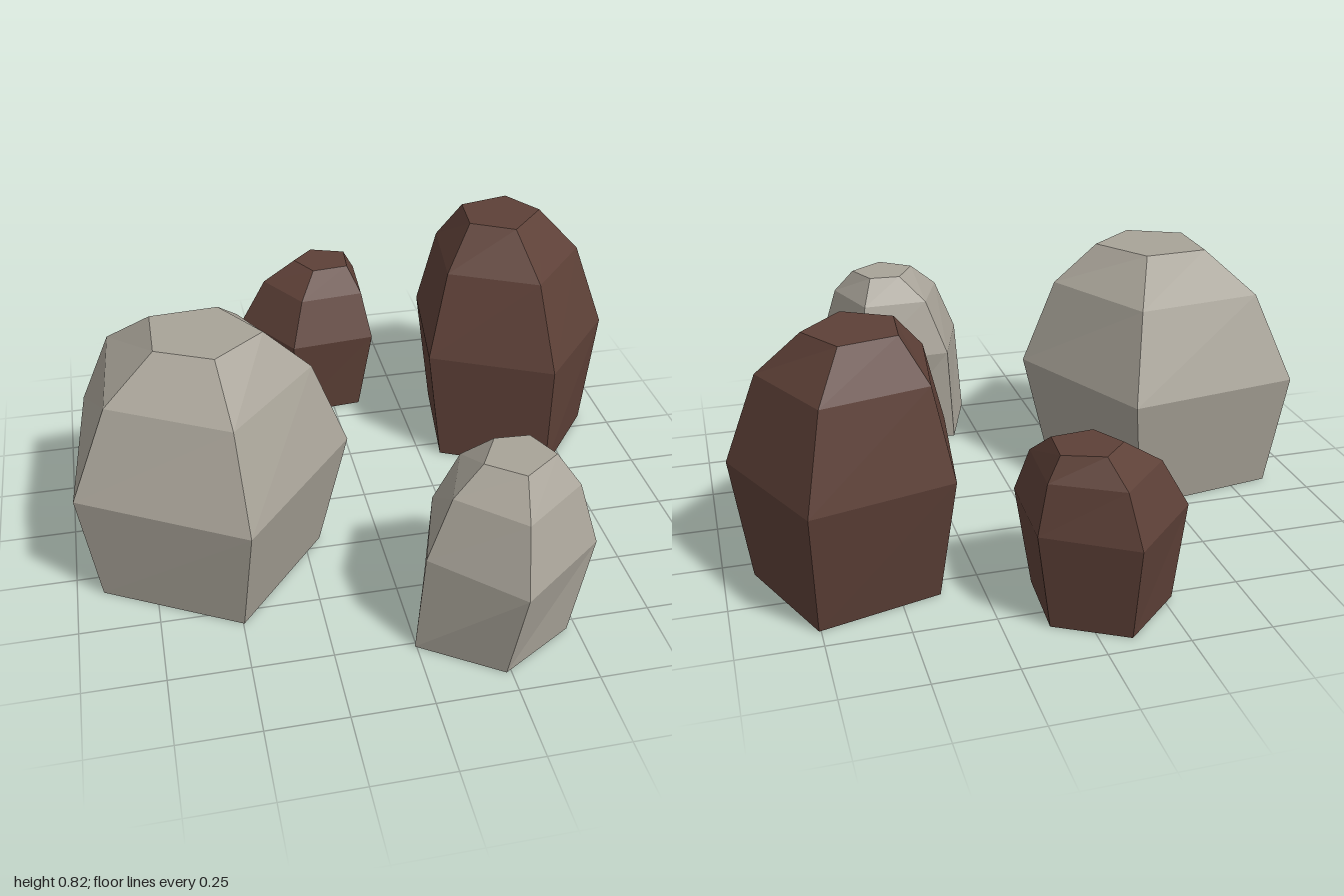
import * as THREE from 'three';

// Five-sided boulder from stacked rings: base, belly, shoulder, top.
// Ring points are [x, z], clockwise seen from above.
function boulder(name, material, { base, belly, top, heights, blend }) {
  const shoulder = belly.map(([x, z], i) => [
    x + (top[i][0] - x) * blend,
    z + (top[i][1] - z) * blend,
  ]);
  const rings = [base, belly, shoulder, top].map((ring, r) =>
    ring.map(([x, z]) => [x, heights[r], z]));
  const n = base.length;
  const positions = [];
  const tri = (a, b, c) => positions.push(...a, ...b, ...c);

  // Side facets
  for (let r = 0; r < rings.length - 1; r++) {
    const lower = rings[r], upper = rings[r + 1];
    for (let i = 0; i < n; i++) {
      const j = (i + 1) % n;
      tri(lower[j], lower[i], upper[i]);
      tri(lower[j], upper[i], upper[j]);
    }
  }
  // Bottom and top caps
  const bottomRing = rings[0], topRing = rings[rings.length - 1];
  for (let i = 1; i < n - 1; i++) {
    tri(bottomRing[0], bottomRing[i], bottomRing[i + 1]);
    tri(topRing[0], topRing[i + 1], topRing[i]);
  }

  const geometry = new THREE.BufferGeometry();
  geometry.setAttribute('position', new THREE.Float32BufferAttribute(positions, 3));
  geometry.computeVertexNormals(); // unshared corners keep the facets flat
  const mesh = new THREE.Mesh(geometry, material);
  mesh.name = name;
  return mesh;
}

export function createModel() {
  const group = new THREE.Group();
  group.name = 'rocks';
  const grey = new THREE.MeshStandardMaterial({ color: 0xa8a398 });
  grey.name = 'greyStone';
  const brown = new THREE.MeshStandardMaterial({ color: 0x5d4037 });
  brown.name = 'brownStone';

  group.add(
    boulder('largeGreyRock', grey, {
      base: [[-0.88, -0.15], [-0.39, -0.225], [-0.197, 0.2], [-0.497, 0.56], [-0.917, 0.327]],
      belly: [[-0.92, -0.21], [-0.335, -0.3], [-0.1, 0.21], [-0.467, 0.65], [-0.965, 0.365]],
      top: [[-0.68, 0.016], [-0.467, 0], [-0.35, 0.18], [-0.51, 0.31], [-0.683, 0.227]],
      heights: [0, 0.4, 0.68, 0.81],
      blend: 0.43,
    }),
    boulder('smallGreyRock', grey, {
      base: [[0.09, 0.49], [0.39, 0.52], [0.47, 0.785], [0.235, 0.925], [-0.005, 0.765]],
      belly: [[0.11, 0.488], [0.43, 0.472], [0.53, 0.79], [0.257, 1], [0.02, 0.77]],
      top: [[0.26, 0.594], [0.367, 0.6], [0.415, 0.706], [0.3, 0.79], [0.195, 0.71]],
      heights: [0, 0.34, 0.53, 0.615],
      blend: 0.45,
    }),
    boulder('largeBrownRock', brown, {
      base: [[0.756, -0.675], [0.907, -0.315], [0.674, -0.02], [0.325, -0.19], [0.38, -0.577]],
      belly: [[0.773, -0.757], [0.96, -0.34], [0.674, -0.012], [0.277, -0.206], [0.34, -0.65]],
      top: [[0.646, -0.583], [0.73, -0.445], [0.6, -0.305], [0.457, -0.385], [0.472, -0.543]],
      heights: [0, 0.405, 0.69, 0.825],
      blend: 0.43,
    }),
    boulder('smallBrownRock', brown, {
      base: [[-0.094, -0.944], [0.115, -0.827], [0.1, -0.582], [-0.15, -0.56], [-0.28, -0.773]],
      belly: [[-0.092, -1], [0.16, -0.845], [0.145, -0.55], [-0.156, -0.522], [-0.314, -0.78]],
      top: [[-0.03, -0.863], [0.09, -0.82], [0.08, -0.7], [-0.05, -0.686], [-0.106, -0.786]],
      heights: [0, 0.31, 0.465, 0.54],
      blend: 0.43,
    }),
  );
  return group;
}
